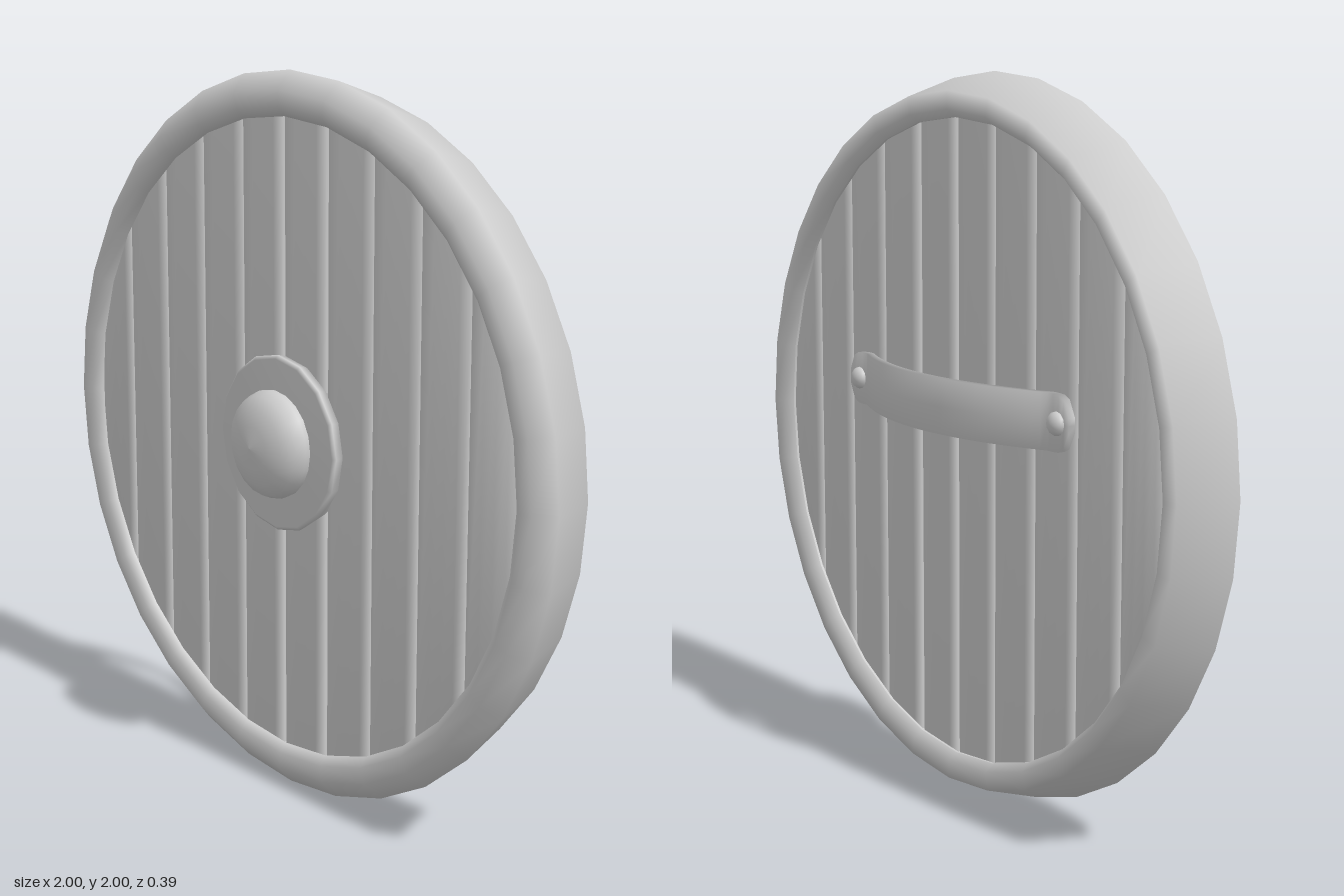
import * as THREE from 'three';
import { mergeVertices } from 'three/addons/utils/BufferGeometryUtils.js';

const material = new THREE.MeshStandardMaterial({ color: 0xcccccc, roughness: 0.8 });

// Shared vertices give soft normals across the edges.
function soften(geometry) {
  geometry.deleteAttribute('uv');
  geometry.deleteAttribute('normal');
  const merged = mergeVertices(geometry, 1e-5);
  merged.computeVertexNormals();
  return merged;
}

// Moves each vertex of a geometry by a rule.
function reshape(geometry, rule) {
  const pos = geometry.attributes.position;
  const v = new THREE.Vector3();
  for (let i = 0; i < pos.count; i++) {
    v.fromBufferAttribute(pos, i);
    rule(v);
    pos.setXYZ(i, v.x, v.y, v.z);
  }
  return geometry;
}

// Turned part around the z axis; points are [radius, z] from back to front.
function turned(points, sides) {
  return new THREE.LatheGeometry(points.map(p => new THREE.Vector2(...p)), sides).rotateX(Math.PI / 2);
}

function add(group, name, geometry) {
  const mesh = new THREE.Mesh(geometry, material);
  mesh.name = name;
  group.add(mesh);
  return mesh;
}

export function createModel() {
  const shield = new THREE.Group();
  shield.name = 'roundShield';
  const body = new THREE.Group();
  body.name = 'shieldBody';
  body.position.y = 1.0;
  shield.add(body);

  // Rim: faceted ring, widest just behind its front edge
  add(body, 'rim', turned([
    [0.88, -0.085], [0.9, -0.11], [0.95, -0.11], [1.0, 0.045],
    [0.95, 0.088], [0.905, 0.085], [0.88, 0.065], [0.88, -0.085],
  ], 32));

  // Planks: vertical boards whose ends follow the circle inside the rim
  const planks = new THREE.Group();
  planks.name = 'planks';
  body.add(planks);
  const pitch = 0.178;
  for (let i = 0; i < 10; i++) {
    const left = (i - 5) * pitch + (i === 0 ? 0.015 : 0);
    const right = (i - 4) * pitch - (i === 4 || i === 5 ? 0.008 : 0);
    const board = new THREE.BoxGeometry(right - left, 2, 0.14, 4, 1, 1);
    board.translate((left + right) / 2, 0, -0.008);
    reshape(board, v => { v.y = Math.sign(v.y) * Math.sqrt(Math.max(0.92 ** 2 - v.x ** 2, 0.01)); });
    add(planks, 'plank' + (i + 1), soften(board));
  }

  // Boss: flat flange with a low dome on the front
  add(body, 'bossFlange', turned([[0, 0.05], [0.235, 0.05], [0.245, 0.09], [0.235, 0.098], [0, 0.102]], 16));
  add(body, 'bossDome', turned([
    [0.148, 0.09], [0.15, 0.115], [0.137, 0.145], [0.105, 0.168], [0.06, 0.183], [0, 0.19],
  ], 20));

  // Grip: bowed strap with rounded, flat ends on the back
  const half = 0.52, height = 0.075, corner = 0.055;
  const strap = new THREE.BoxGeometry(half * 2, height * 2, 0.022, 48, 2, 1);
  reshape(strap, v => {
    const over = Math.max(0, Math.abs(v.x) - (half - corner));
    const limit = height - corner + Math.sqrt(Math.max(0, corner ** 2 - over ** 2));
    v.y *= limit / height;
    v.z -= 0.087 + 0.098 * Math.max(0, 1 - (v.x / 0.43) ** 2);
  });
  const grip = add(body, 'gripStrap', soften(strap));
  grip.position.y = 0.125;

  // Rivets: one domed stud at each end of the grip
  for (const side of [-1, 1]) {
    const stud = new THREE.SphereGeometry(0.032, 12, 6, 0, Math.PI * 2, 0, Math.PI / 2);
    stud.scale(1, 0.75, 1).rotateX(-Math.PI / 2);
    add(body, side > 0 ? 'leftRivet' : 'rightRivet', stud).position.set(side * 0.47, 0.125, -0.097);
  }

  return shield;
}
